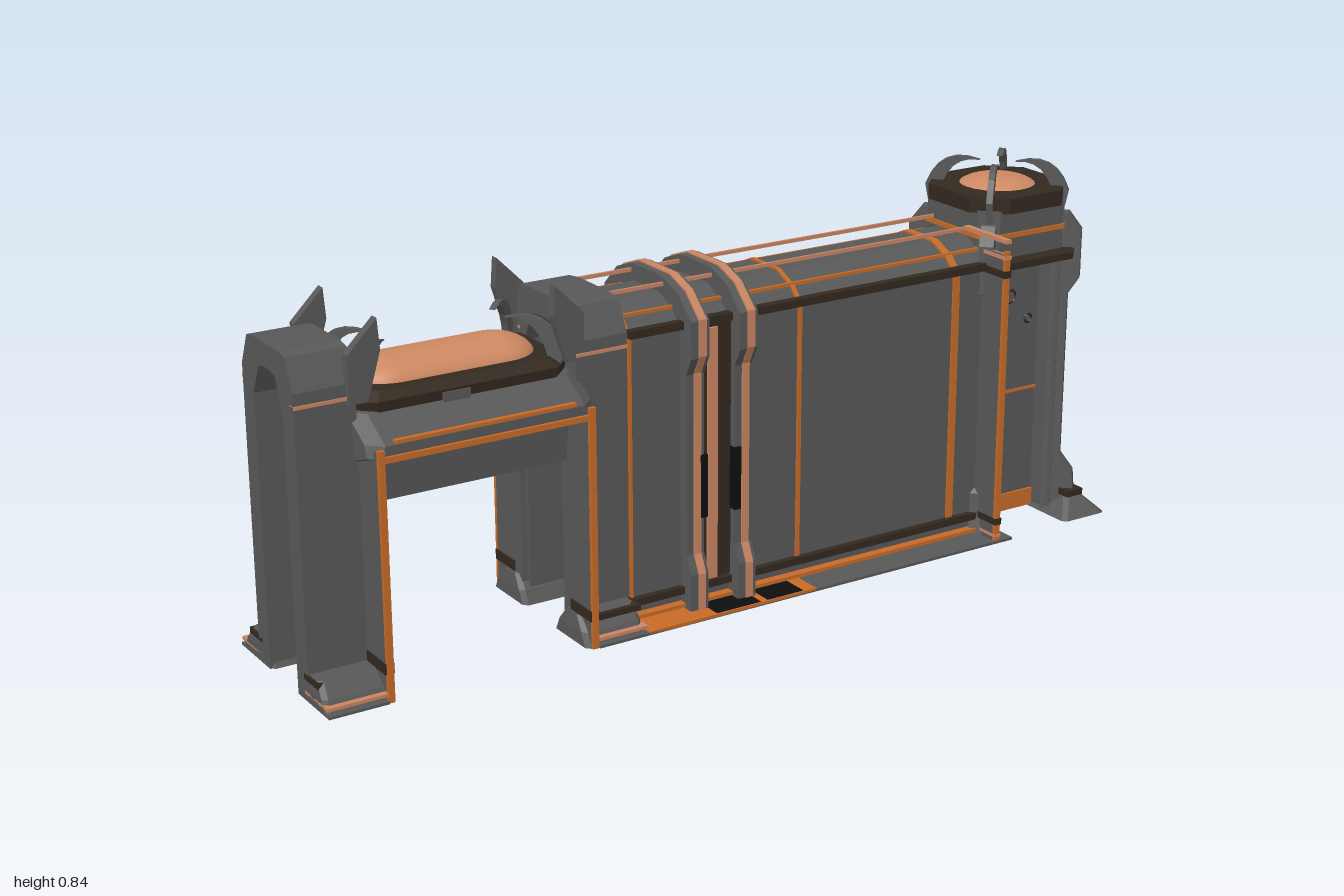
import * as THREE from 'three';

const mat = (name, color) => Object.assign(new THREE.MeshStandardMaterial({ color, flatShading: true }), { name });
const gray = mat('gunmetal', 0x585858);
const dark = mat('dark bronze', 0x33291f);
const orange = mat('orange', 0xc66a28);
const copper = mat('copper', 0xc98563);
const black = mat('black', 0x0e0e0e);
const domeMat = mat('dome copper', 0xcd8862);
domeMat.flatShading = false;

export function createModel() {
  const root = new THREE.Group();
  root.name = 'fortifiedWall';

  const add = (name, geo, m, x = 0, y = 0, z = 0) => {
    const mesh = new THREE.Mesh(geo, m);
    mesh.name = name;
    mesh.position.set(x, y, z);
    root.add(mesh);
    return mesh;
  };
  // box given by its limits on each axis
  const box = (name, m, x0, x1, y0, y1, z0, z1) =>
    add(name, new THREE.BoxGeometry(x1 - x0, y1 - y0, z1 - z0), m, (x0 + x1) / 2, (y0 + y1) / 2, (z0 + z1) / 2);
  // the same box on the front and the back
  const pair = (name, m, x0, x1, y0, y1, z0, z1) => {
    box(name + 'Front', m, x0, x1, y0, y1, z0, z1);
    box(name + 'Back', m, x0, x1, y0, y1, -z1, -z0);
  };
  const outline = pts => pts.map(p => new THREE.Vector2(...p));
  const extrude = (pts, depth, hole) => {
    const s = new THREE.Shape(outline(pts));
    if (hole) s.holes.push(new THREE.Path(outline(hole)));
    return new THREE.ExtrudeGeometry(s, { depth, bevelEnabled: false });
  };

  // arch-shaped band, open underneath, running from x0 to x1; half profile is [z, y]
  const band = (name, m, half, t, x0, x1) => {
    const inner = half.map(([z, y]) => [z - t, y > 0.3 ? y - t : y]);
    const over = h => [...h, ...h.map(([z, y]) => [-z, y]).reverse()];
    const geo = extrude([...over(half), ...over(inner).reverse()], x1 - x0);
    geo.rotateY(Math.PI / 2);
    return add(name, geo, m, x0);
  };

  // stacked chamfered rectangles, each [y, halfX, halfZ, chamfer]
  const loft = rings => {
    const rows = rings.map(([y, a, b, c]) => [
      [a, y, b - c], [a, y, c - b], [a - c, y, -b], [c - a, y, -b],
      [-a, y, c - b], [-a, y, b - c], [c - a, y, b], [a - c, y, b]]);
    const out = [];
    for (let r = 0; r < rows.length - 1; r++)
      for (let i = 0; i < 8; i++) {
        const j = (i + 1) % 8, lo = rows[r], hi = rows[r + 1];
        out.push(...lo[i], ...lo[j], ...hi[j], ...lo[i], ...hi[j], ...hi[i]);
      }
    const top = rows[rows.length - 1], bot = rows[0];
    for (let i = 1; i < 7; i++) out.push(...top[0], ...top[i], ...top[i + 1], ...bot[0], ...bot[i + 1], ...bot[i]);
    const geo = new THREE.BufferGeometry();
    geo.setAttribute('position', new THREE.Float32BufferAttribute(out, 3));
    geo.computeVertexNormals();
    return geo;
  };

  // slim inward-curling claw, profile in radius and height
  const claw = (name, angle, x, y, z, r0) => {
    const s = new THREE.Shape();
    s.moveTo(0, -0.06);
    s.lineTo(0.012, 0);
    s.quadraticCurveTo(-0.02, 0.09, -0.11, 0.06);
    s.quadraticCurveTo(-0.04, 0.07, -0.02, -0.02);
    const geo = new THREE.ExtrudeGeometry(s, { depth: 0.014, bevelEnabled: false, curveSegments: 6 });
    geo.translate(r0, 0, -0.007);
    add(name, geo, gray, x, y, z).rotation.y = angle;
  };
  const diagonals = [1, 3, 5, 7].map(k => k * Math.PI / 4);

  // ---- main wall, hollow and open underneath
  band('wallShell', gray, [[0.13, 0], [0.13, 0.63], [0.1, 0.66], [0.05, 0.685]], 0.012, -0.27, 0.69);
  pair('upperRail', dark, -0.27, 0.66, 0.628, 0.645, 0.125, 0.145);
  pair('lowerRail', dark, -0.27, 0.66, 0.04, 0.056, 0.128, 0.145);
  pair('skirtTrim', orange, -0.27, 0.66, 0.012, 0.02, 0.13, 0.15);
  pair('roofPipe', copper, -0.27, 0.66, 0.702, 0.71, 0.06, 0.066);
  pair('roofRail', orange, -0.27, 0.66, 0.662, 0.669, 0.094, 0.101);
  box('floorPlateFront', gray, -0.27, 0.7, 0, 0.006, 0.12, 0.21);
  box('floorPlateBack', gray, -0.27, 1, 0, 0.006, -0.21, -0.12);
  pair('orangePlate', orange, -0.27, 0.155, 0, 0.008, 0.128, 0.21);
  pair('hazardPlate', black, -0.1, 0.012, -0.0005, 0.009, 0.128, 0.206);
  pair('hazardStripe', black, 0.03, 0.122, -0.0005, 0.009, 0.128, 0.206);
  const trim = [[0.134, 0.05], [0.134, 0.632], [0.104, 0.664], [0.05, 0.689]];
  band('columnSeam', orange, trim, 0.006, -0.27, -0.262);
  band('panelSeam', orange, trim, 0.006, 0.152, 0.162);
  band('endSeam', orange, trim, 0.006, 0.567, 0.585);
  // end fin beside the tower, crossed by the rails
  box('endFin', gray, 0.65, 0.662, 0, 0.675, 0.13, 0.2);
  box('endFinEdge', orange, 0.65, 0.664, 0, 0.685, 0.2, 0.208);
  box('finRailTop', dark, 0.648, 0.666, 0.625, 0.641, 0.13, 0.21);
  box('finRailBottom', dark, 0.648, 0.666, 0.045, 0.06, 0.13, 0.21);
  box('finRodLow', copper, 0.648, 0.666, 0.667, 0.675, 0.13, 0.21);
  box('finRodHigh', copper, 0.65, 0.664, 0.703, 0.712, 0.06, 0.21);
  box('finRodFoot', copper, 0.648, 0.666, 0.016, 0.022, 0.13, 0.21);

  // ---- pair of ribs wrapping the wall, with a copper strip along each
  for (const x of [-0.12, 0]) {
    const rib = [[0.17, 0], [0.17, 0.09], [0.152, 0.13], [0.152, 0.53], [0.172, 0.57], [0.172, 0.65], [0.12, 0.7], [0.06, 0.722]];
    band('rib', gray, rib, 0.045, x - 0.022, x + 0.022);
    const strip = rib.map(([z, y]) => [z + 0.003, y + (y > 0.3 ? 0.003 : 0)]);
    band('ribStrip', copper, strip, 0.006, x - 0.004, x + 0.014);
    const inner = x < 0 ? x + 0.012 : x - 0.024;
    pair('ribSleeve', black, inner, inner + 0.016, 0.21, 0.35, 0.13, 0.158);
  }
  pair('ribPanel', dark, -0.1, -0.02, 0.06, 0.63, 0.128, 0.138);
  pair('ribPanelStrip', copper, -0.082, -0.058, 0.06, 0.62, 0.138, 0.144);

  // ---- gate columns: each is a tall arch on two legs
  for (const [x0, x1, inner, d, w] of [[-1, -0.87, -0.87, 1, 0.118], [-0.39, -0.27, -0.39, -1, 0.13]]) {
    band('gateColumn', gray, [[w, 0], [w, 0.64], [w - 0.03, 0.705], [0.06, 0.71]], 0.05, x0, x1);
    pair('columnBand', copper, x0, x1, 0.608, 0.615, 0.1, w + 0.003);
    const e0 = Math.min(inner, inner + d * 0.014), e1 = Math.max(inner, inner + d * 0.014);
    // jambs standing proud of the column, edged in orange
    pair('jamb', gray, e0, e1, 0.02, 0.52, 0.09, 0.198);
    pair('jambTrim', orange, e0, e1, 0.0, 0.525, 0.198, 0.207);
    pair('jambBand', dark, e0 - 0.003, e1 + 0.003, 0.06, 0.083, 0.12, 0.203);
    pair('footPlate', gray, x0, x1, 0, 0.006, 0.1, 0.21);
    pair('footRail', dark, x0, x1, 0.045, 0.058, 0.1, w + 0.045);
    pair('footTrim', copper, x0, x1, 0.014, 0.021, 0.1, 0.205);
    for (const s of [-1, 1]) {
      add('columnFoot', loft([[0, 0.07, 0.07, 0.01], [0.03, 0.07, 0.055, 0.01], [0.06, 0.066, 0.03, 0.01]]),
        gray, x0 === -1 ? -0.93 : -0.345, 0, s * 0.132);
      // blade-like fins on the gate side of the column top
      const e = inner - d * 0.02;
      const pts = [[e, 0.6], [e, 0.7], [inner + d * 0.045, 0.765], [inner + d * 0.05, 0.7], [inner + d * 0.02, 0.6]];
      add('columnFin', extrude(pts, 0.02), gray, 0, 0, s * 0.12 - 0.01);
    }
  }

  // ---- gate lintel with elongated dome
  const gx = -0.63;
  add('lintel', loft([[0.385, 0.25, 0.11, 0.01], [0.48, 0.25, 0.12, 0.01], [0.505, 0.25, 0.198, 0.02],
    [0.53, 0.25, 0.198, 0.03], [0.575, 0.25, 0.125, 0.03]]), gray, gx);
  pair('lintelTrim', orange, -0.86, -0.4, 0.498, 0.51, 0.19, 0.205);
  pair('lintelTopTrim', orange, -0.83, -0.43, 0.532, 0.539, 0.188, 0.2);
  pair('lintelUnderTrim', orange, -0.83, -0.43, 0.383, 0.387, 0.085, 0.1);
  add('domeFrame', loft([[0.56, 0.235, 0.125, 0.04], [0.595, 0.24, 0.13, 0.04], [0.61, 0.225, 0.11, 0.04]]), dark, gx);
  pair('framePlate', gray, -0.69, -0.63, 0.568, 0.59, 0.125, 0.133);
  const longDome = add('gateDome', new THREE.CapsuleGeometry(0.086, 0.24, 8, 24), domeMat, gx, 0.6, 0);
  longDome.geometry.rotateZ(Math.PI / 2);
  longDome.scale.y = 0.54;
  for (const sx of [-1, 1]) for (const sz of [-1, 1])
    claw('gateClaw', Math.atan2(-sz, sx), gx + sx * 0.13, 0.625, sz * 0.02, 0.12);

  // ---- tower: hollow body with a recessed front bay
  const tx = 0.79;
  const plan = [[0.125, 0.09], [0.125, -0.09], [0.09, -0.125], [-0.09, -0.125], [-0.125, -0.09], [-0.125, 0.09],
    [-0.09, 0.125], [-0.085, 0.06], [0.085, 0.06], [0.09, 0.125]].map(([x, z]) => [x, -z]);
  const hollow = [[-0.112, -0.045], [0.112, -0.045], [0.112, 0.1], [-0.112, 0.1]];
  const body = extrude(plan, 0.62, hollow);
  body.rotateX(-Math.PI / 2);
  add('towerBody', body, gray, tx);
  add('towerHead', loft([[0.615, 0.125, 0.125, 0.035], [0.75, 0.125, 0.125, 0.035]]), gray, tx);
  add('towerFootSide', loft([[0, 0.062, 0.195, 0.01], [0.045, 0.02, 0.15, 0.01]]), gray, 0.93);
  add('towerFootBack', loft([[0, 0.14, 0.045, 0.01], [0.045, 0.13, 0.02, 0.01]]), gray, tx, 0, -0.145);
  box('baseRingSide', dark, 0.9, 0.945, 0.045, 0.06, -0.17, 0.165);
  box('baseRingBack', dark, 0.66, 0.94, 0.045, 0.06, -0.165, -0.12);
  add('towerMidRing', loft([[0.625, 0.155, 0.165, 0.065], [0.641, 0.155, 0.165, 0.065]]), dark, tx);
  add('towerTrim', loft([[0.687, 0.129, 0.129, 0.035], [0.698, 0.129, 0.129, 0.035]]), orange, tx);
  add('towerCap', loft([[0.745, 0.138, 0.138, 0.065], [0.78, 0.138, 0.138, 0.065]]), dark, tx);
  add('towerDome', new THREE.SphereGeometry(0.092, 24, 12, 0, Math.PI * 2, 0, Math.PI / 2), domeMat, tx, 0.768, 0).scale.y = 0.35;
  for (const a of diagonals) {
    claw('towerClaw', a, tx, 0.77, 0, 0.15);
    // corner buttress with a bulge at top and bottom
    const geo = extrude([[0.13, 0], [0.215, 0], [0.205, 0.045], [0.2, 0.1], [0.17, 0.14], [0.17, 0.53],
      [0.195, 0.57], [0.195, 0.68], [0.165, 0.72], [0.13, 0.72]], 0.032);
    geo.translate(0, 0, -0.016);
    add('towerButtress', geo, gray, tx).rotation.y = a;
  }
  // details inside the front bay
  box('bayKick', orange, 0.705, 0.875, 0.003, 0.044, 0.058, 0.066);
  box('bayLine', orange, 0.705, 0.875, 0.293, 0.299, 0.058, 0.064);
  for (const [x, y, r] of [[0.735, 0.465, 0.01], [0.845, 0.465, 0.01], [0.79, 0.525, 0.015]])
    add('rivet', new THREE.TorusGeometry(r, 0.003, 4, 12), dark, x, y, 0.062);

  // back power box with pipes bending into the tower
  box('powerBox', orange, 0.72, 0.86, 0.06, 0.29, -0.17, -0.12);
  const plate = add('powerBoxPlate', new THREE.CylinderGeometry(0.045, 0.045, 0.006, 12), dark, tx, 0.175, -0.169);
  plate.rotation.x = Math.PI / 2;
  plate.scale.z = 1.9;
  [[0.74, 0.46, gray, 0.01], [0.79, 0.53, dark, 0.017], [0.84, 0.46, gray, 0.01]].forEach(([x, y, m, r]) => {
    const path = new THREE.CatmullRomCurve3([[0.28, -0.148], [y - 0.05, -0.148], [y - 0.015, -0.14], [y - 0.005, -0.115]]
      .map(([py, pz]) => new THREE.Vector3(x, py, pz)));
    add('pipe', new THREE.TubeGeometry(path, 12, r, 8), m);
  });

  return root;
}
